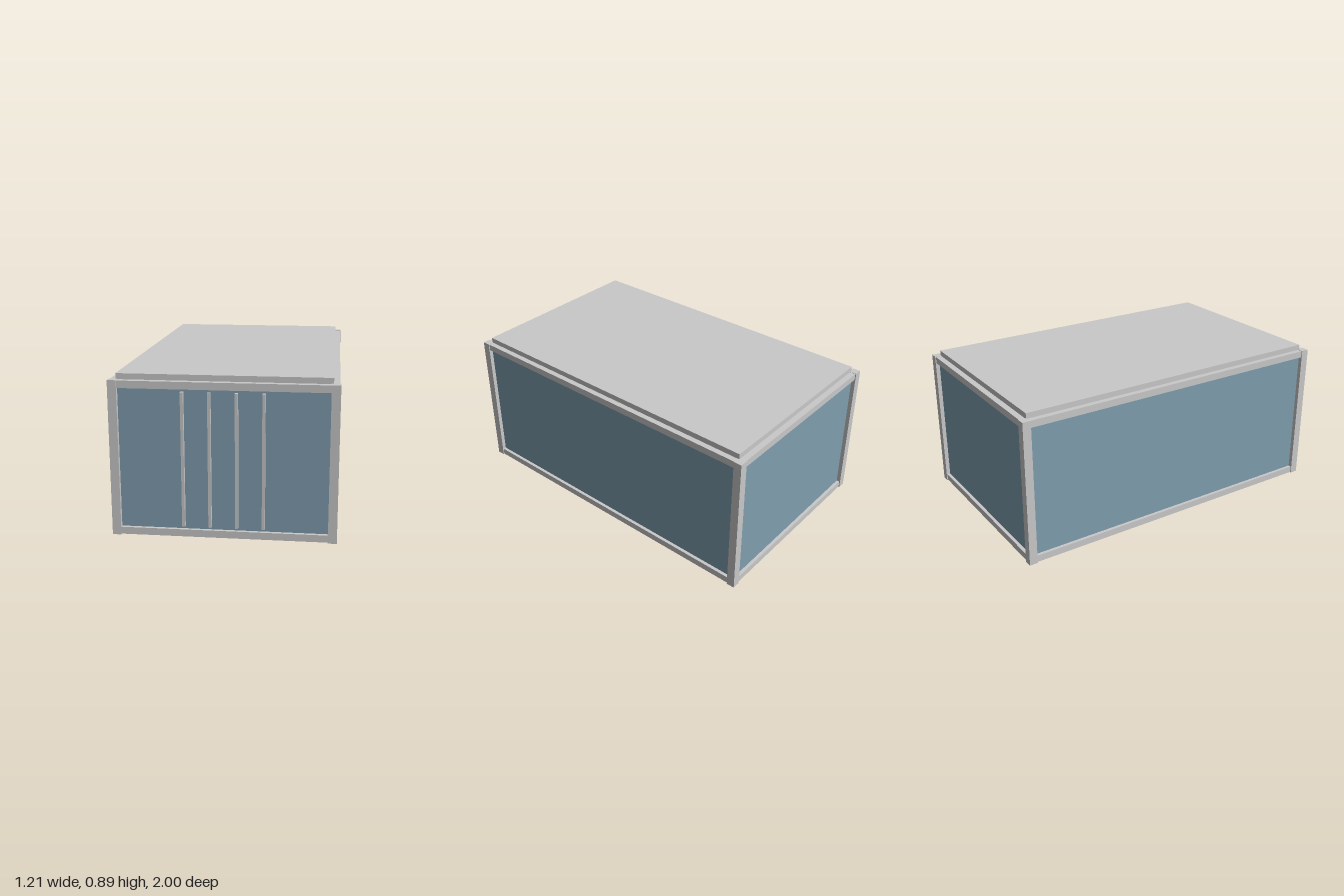
import * as THREE from 'three';

export function createModel() {
  const model = new THREE.Group();
  model.name = 'container';

  const frameGrey = new THREE.MeshStandardMaterial({ name: 'frame grey', color: 0xc9c9c9 });
  const panelBlue = new THREE.MeshStandardMaterial({ name: 'panel blue', color: 0x7f9eaf });

  // Box given by its extents along each axis
  function box(name, material, [x0, x1], [y0, y1], [z0, z1]) {
    const mesh = new THREE.Mesh(new THREE.BoxGeometry(x1 - x0, y1 - y0, z1 - z0), material);
    mesh.position.set((x0 + x1) / 2, (y0 + y1) / 2, (z0 + z1) / 2);
    mesh.name = name;
    model.add(mesh);
  }
  // Range on the positive or negative side of an axis
  const side = (s, a, b) => (s > 0 ? [a, b] : [-b, -a]);

  const W = 0.607, D = 1, H = 0.857; // half width, half depth, frame height
  const T = 0.048;                   // post thickness
  const step = 0.005;                // rails sit slightly behind the posts

  // Recessed body
  box('body', panelBlue, [-0.583, 0.583], [0.02, 0.84], [-0.976, 0.976]);

  // Corner posts
  for (const sx of [1, -1])
    for (const sz of [1, -1])
      box('cornerPost', frameGrey, side(sx, W - T, W), [0, H], side(sz, D - T, D));

  // Bottom and top rails
  for (const y of [[0.003, 0.043], [0.815, H - 0.002]])
    for (const s of [1, -1]) {
      box('sideRail', frameGrey, side(s, W - T, W - step), y, [T - D, D - T]);
      box('endRail', frameGrey, [T - W, W - T], y, side(s, D - T, D - step));
    }

  // Raised roof
  box('roof', frameGrey, [-0.57, 0.57], [0.83, 0.887], [-0.96, 0.96]);

  // Door lock bars
  for (const x of [-0.215, -0.072, 0.072, 0.215])
    box('lockBar', frameGrey, [x - 0.008, x + 0.008], [0.06, 0.8], [0.97, 0.998]);

  return model;
}
